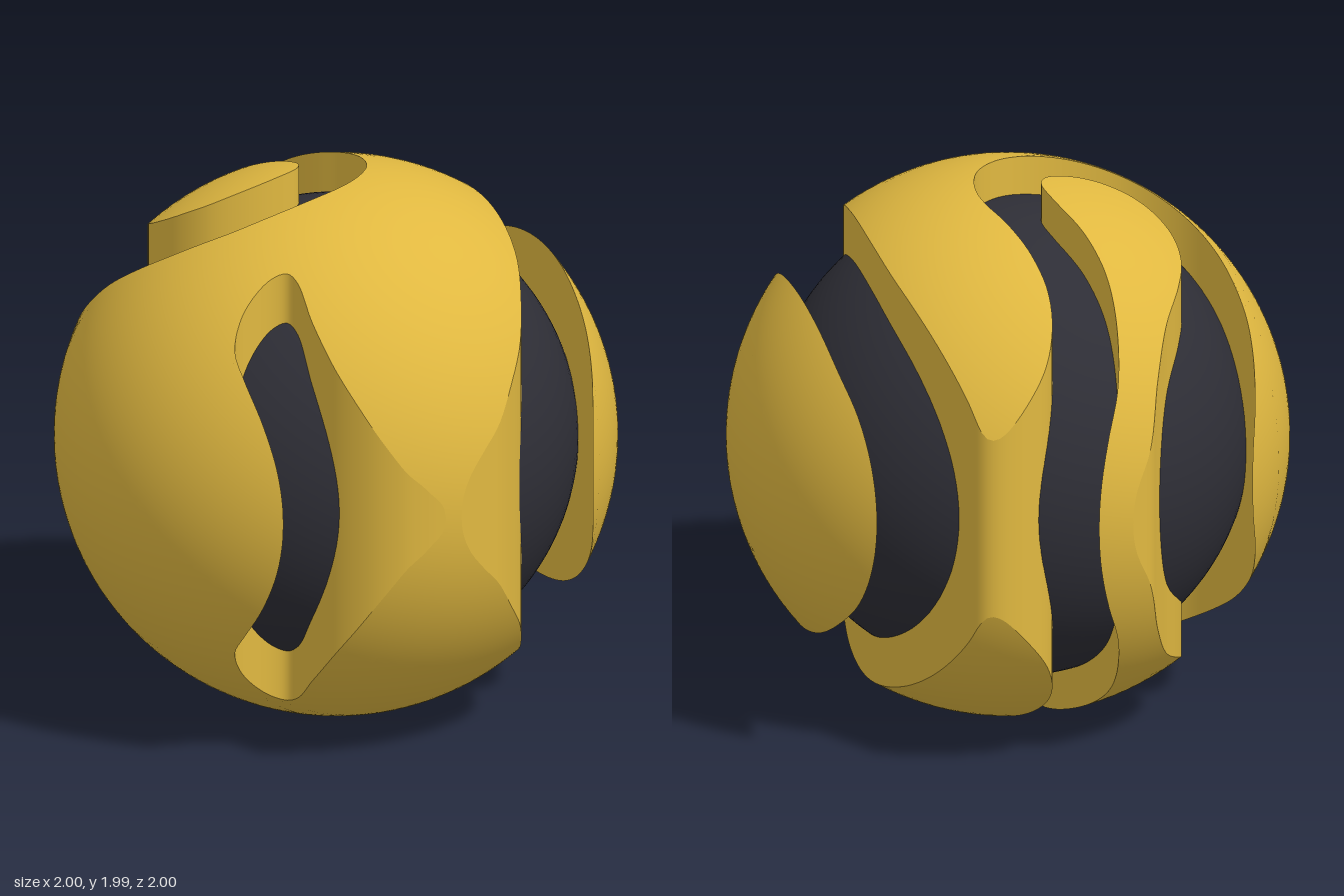
import * as THREE from 'three';

const gold = new THREE.MeshStandardMaterial({ color: 0xe0b840 });
gold.name = 'gold';
const charcoal = new THREE.MeshStandardMaterial({ color: 0x2e2e36 });
charcoal.name = 'charcoal';

const MAX_EDGE = 0.05;

// Plan points are (x, v) with v = -z; lift() gives the unit sphere height above one
const lift = (p) => Math.sqrt(Math.max(0, 1 - p.x * p.x - p.y * p.y));
const edge = (a, b) => Math.hypot(a.x - b.x, a.y - b.y, lift(a) - lift(b));
const mid = (a, b) => new THREE.Vector2((a.x + b.x) / 2, (a.y + b.y) / 2);

// Splits a plan segment until its lifted length is short
function splitSegment(a, b, out) {
  if (edge(a, b) > MAX_EDGE) {
    const m = mid(a, b);
    splitSegment(a, m, out);
    splitSegment(m, b, out);
  } else out.push(b);
}

// Smooth groove edge through [x, z] points, both ends on the rim
function groovePath(points) {
  const curve = new THREE.CatmullRomCurve3(points.map(([x, z]) => new THREE.Vector3(x, 0, z)));
  const raw = curve.getSpacedPoints(points.length * 6).map((p) => {
    const v = new THREE.Vector2(p.x, -p.z);
    return v.length() > 1 ? v.normalize() : v;
  });
  raw[0].normalize();
  raw[raw.length - 1].normalize();
  const out = [raw[0]];
  for (let i = 1; i < raw.length; i++) splitSegment(raw[i - 1], raw[i], out);
  return out;
}

// Points strictly between two rim points, counter-clockwise in plan
function rimArc(a, b) {
  const start = a.angle();
  let sweep = b.angle() - start;
  if (sweep < 0) sweep += Math.PI * 2;
  const n = Math.ceil(sweep / 0.03);
  const out = [];
  for (let i = 1; i < n; i++) {
    const t = start + (sweep * i) / n;
    out.push(new THREE.Vector2(Math.cos(t), Math.sin(t)));
  }
  return out;
}

// Ball piece: spherical top and bottom skins plus upright walls along the groove edges
function shellPiece(name, pointLists) {
  const paths = pointLists.map(groovePath);
  const outline = [];
  paths.forEach((path, i) => {
    const next = paths[(i + 1) % paths.length];
    outline.push(...path, ...rimArc(path[path.length - 1], next[0]));
  });
  const pos = [];
  const nor = [];

  const skin = (p, side) => {
    const y = lift(p) * side;
    pos.push(p.x, y, -p.y);
    nor.push(p.x, y, -p.y);
  };
  const fill = (a, b, c) => {
    const ab = edge(a, b);
    const bc = edge(b, c);
    const ca = edge(c, a);
    const longest = Math.max(ab, bc, ca);
    if (longest > MAX_EDGE) {
      // rotate so the longest edge comes first, then halve it
      const [p, q, r] = longest === ab ? [a, b, c] : longest === bc ? [b, c, a] : [c, a, b];
      const m = mid(p, q);
      fill(p, m, r);
      fill(m, q, r);
      return;
    }
    [a, b, c].forEach((p) => skin(p, 1));
    [a, c, b].forEach((p) => skin(p, -1));
  };
  for (const [a, b, c] of THREE.ShapeUtils.triangulateShape(outline, [])) {
    fill(outline[a], outline[b], outline[c]);
  }

  for (const path of paths) {
    const normals = path.map((p, i) => {
      const a = path[Math.max(0, i - 1)];
      const b = path[Math.min(path.length - 1, i + 1)];
      return new THREE.Vector2(b.y - a.y, a.x - b.x).normalize();
    });
    for (let i = 0; i + 1 < path.length; i++) {
      const j = i + 1;
      for (const [k, s] of [[i, -1], [j, -1], [j, 1], [i, -1], [j, 1], [i, 1]]) {
        pos.push(path[k].x, s * lift(path[k]), -path[k].y);
        nor.push(normals[k].x, 0, -normals[k].y);
      }
    }
  }

  const g = new THREE.BufferGeometry();
  g.setAttribute('position', new THREE.Float32BufferAttribute(pos, 3));
  g.setAttribute('normal', new THREE.Float32BufferAttribute(nor, 3));
  const mesh = new THREE.Mesh(g, gold);
  mesh.name = name;
  mesh.position.y = 1;
  return mesh;
}

export function createModel() {
  const group = new THREE.Group();
  group.name = 'groovedBall';

  // Dark core seen through the grooves
  const core = new THREE.Mesh(new THREE.SphereGeometry(0.86, 96, 64), charcoal);
  core.name = 'innerCore';
  core.position.y = 1;
  group.add(core);

  // Cap on the left side
  group.add(shellPiece('sideCap', [[
    [0.69, -0.724], [0.717, -0.612], [0.754, -0.45], [0.775, -0.24], [0.78, 0],
    [0.77, 0.19], [0.743, 0.404], [0.717, 0.54], [0.674, 0.67], [0.615, 0.788],
  ]]));

  // Tongue reaching in from the back
  group.add(shellPiece('backTongue', [[
    [-0.18, -0.984], [-0.26, -0.93], [-0.315, -0.826], [-0.385, -0.687], [-0.476, -0.53],
    [-0.524, -0.4], [-0.52, -0.265], [-0.45, -0.14], [-0.34, -0.075], [-0.225, -0.056],
    [-0.118, -0.077], [-0.085, -0.13], [-0.1, -0.24], [-0.166, -0.425], [-0.198, -0.585],
    [-0.19, -0.745], [-0.155, -0.87], [-0.1, -0.944], [-0.05, -0.999],
  ]]));

  // Main body: wraps the tongue and has a notch at the front
  group.add(shellPiece('mainShell', [
    [
      [-0.02, 1], [0.085, 0.972], [0.166, 0.938], [0.246, 0.874], [0.326, 0.785],
      [0.41, 0.63], [0.47, 0.48], [0.515, 0.27], [0.54, 0], [0.54, -0.185],
      [0.525, -0.345], [0.49, -0.505], [0.438, -0.666], [0.38, -0.8], [0.337, -0.875],
      [0.28, -0.896], [0.19, -0.88], [0.1, -0.826], [0.05, -0.745], [0.033, -0.64],
      [0.053, -0.505], [0.1, -0.345], [0.144, -0.21], [0.15, -0.104], [0.112, 0.02],
      [0.03, 0.11], [-0.075, 0.163], [-0.225, 0.182], [-0.37, 0.163], [-0.5, 0.11],
      [-0.636, -0.013], [-0.717, -0.158], [-0.76, -0.345], [-0.765, -0.42],
      [-0.754, -0.53], [-0.727, -0.64], [-0.695, -0.719],
    ],
    [
      [-0.62, 0.785], [-0.645, 0.69], [-0.665, 0.57], [-0.66, 0.49], [-0.61, 0.44],
      [-0.54, 0.415], [-0.47, 0.41], [-0.42, 0.43], [-0.405, 0.48], [-0.415, 0.62],
      [-0.39, 0.76], [-0.32, 0.88], [-0.235, 0.95], [-0.15, 0.982], [-0.08, 0.997],
    ],
  ]));

  return group;
}
